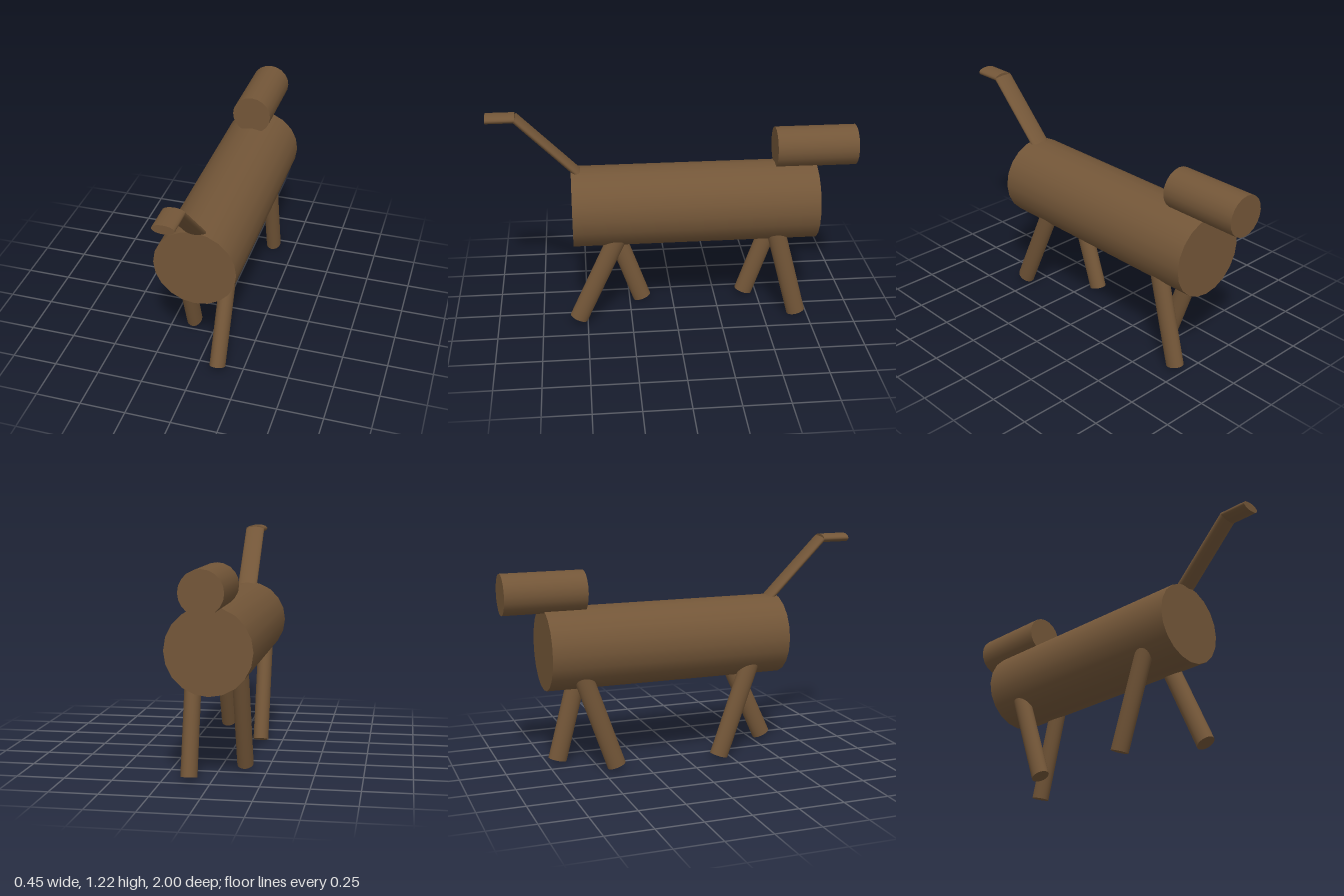
import * as THREE from 'three';

const SIDES = 20;
const brown = new THREE.MeshStandardMaterial({ color: 0x735638 });

// Capped rod between two points in a plane of constant x, with an oval section:
// rx across the model, rt in the plane of the lean.
function rod(name, x, [y0, z0], [y1, z1], rx, rt) {
  const dy = y1 - y0, dz = z1 - z0;
  const geometry = new THREE.CylinderGeometry(1, 1, Math.hypot(dy, dz), SIDES);
  geometry.scale(rx, 1, rt);
  const mesh = new THREE.Mesh(geometry, brown);
  mesh.name = name;
  mesh.rotation.x = Math.atan2(dz, dy);
  mesh.position.set(x, (y0 + y1) / 2, (z0 + z1) / 2);
  return mesh;
}

export function createModel() {
  const model = new THREE.Group();
  model.name = 'animal';

  // Barrel body and the head resting on its back end
  model.add(rod('body', 0, [0.68, -0.78], [0.68, 0.563], 0.223, 0.223));
  model.add(rod('head', -0.007, [0.988, -1], [0.988, -0.555], 0.111, 0.111));

  // Legs: foot position and lean (change in z per unit of height)
  const legs = [
    ['frontLeftLeg', 0.117, 0.045, 0.549, -0.46],
    ['frontRightLeg', -0.131, 0.026, 0.179, 0.354],
    ['backLeftLeg', 0.117, 0.024, -0.688, 0.26],
    ['backRightLeg', -0.131, 0.037, -0.42, -0.35],
  ];
  const hip = 0.58;
  for (const [name, x, y, z, lean] of legs) {
    model.add(rod(name, x, [y, z], [hip, z + lean * (hip - y)], 0.043, 0.052));
  }

  // Flattened tail: a rising part and a level tip
  const tail = new THREE.Group();
  tail.name = 'tail';
  tail.add(rod('tailBase', 0, [0.85, 0.49], [1.207, 0.847], 0.057, 0.022));
  tail.add(rod('tailTip', 0, [1.207, 0.845], [1.207, 1], 0.057, 0.024));
  model.add(tail);

  return model;
}
